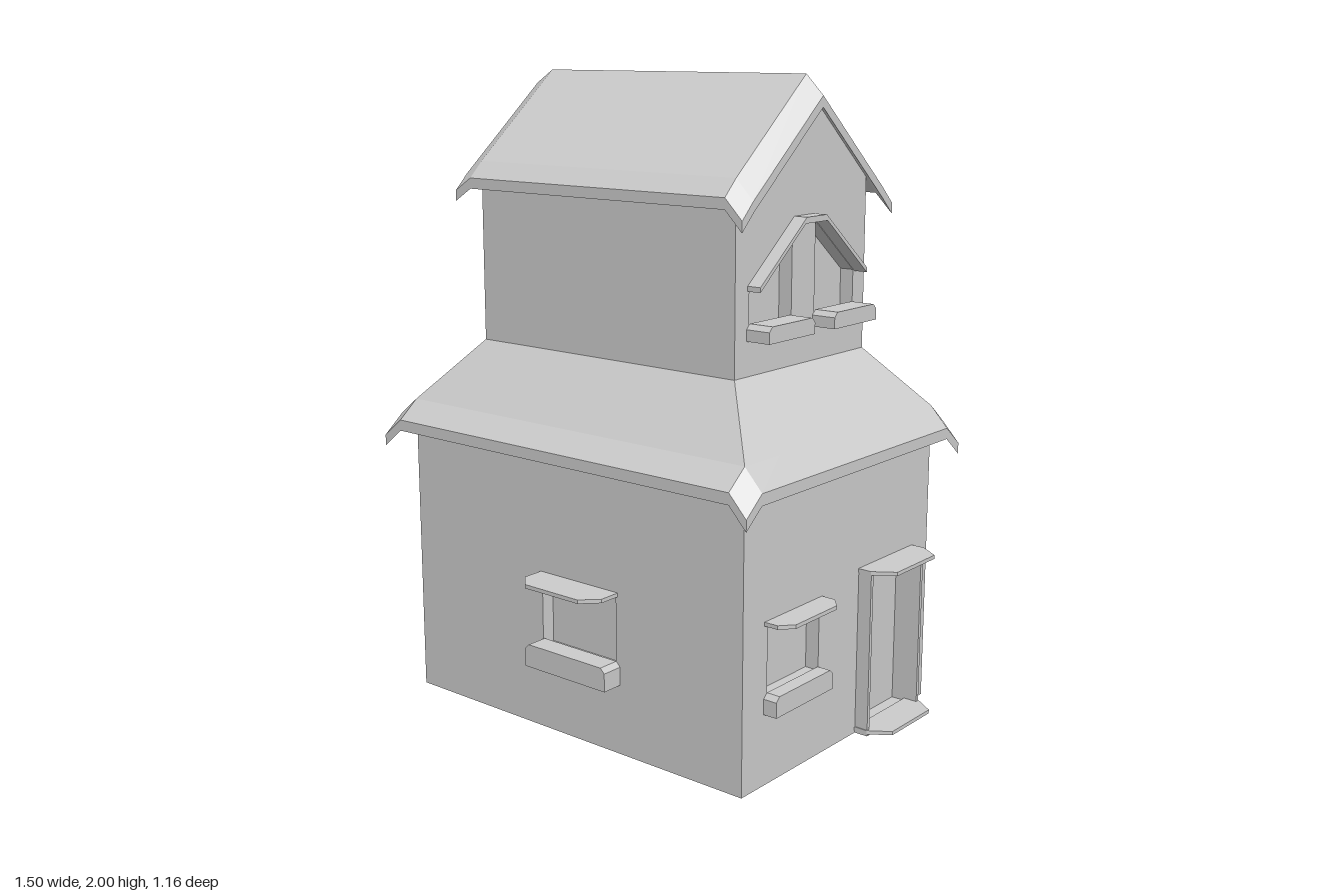
import * as THREE from 'three';

const grey = new THREE.MeshStandardMaterial({ color: 0xcccccc, flatShading: true });
const RECESS = 0.045;

function add(parent, name, geometry) {
  const mesh = new THREE.Mesh(geometry, grey);
  mesh.name = name;
  parent.add(mesh);
  return mesh;
}

const rect = (x0, x1, y0, y1) => [[x0, y0], [x1, y0], [x1, y1], [x0, y1]];
const points = (list) => list.map(([x, y]) => new THREE.Vector2(x, y));

// Outline with optional holes, extruded from z0 to z1
function prism(outline, z0, z1, holes = []) {
  const shape = new THREE.Shape(points(outline));
  for (const h of holes) shape.holes.push(new THREE.Path(points(h)));
  return new THREE.ExtrudeGeometry(shape, { depth: z1 - z0, bevelEnabled: false }).translate(0, 0, z0);
}

// Thin horizontal slab with its two outer corners cut off
function slab(x0, x1, proj, yTop, z, cutX, cutZ) {
  const outline = [[x0, 0], [x1, 0], [x1, proj - cutZ], [x1 - cutX, proj], [x0 + cutX, proj], [x0, proj - cutZ]];
  return prism(outline, 0, 0.012).rotateX(Math.PI / 2).translate(0, yTop, z);
}

// Sill block with chamfered upper corners
function sill(x0, x1, y0, y1, z, proj) {
  const c = 0.015;
  return prism([[x0, y0], [x1, y0], [x1, y1 - c], [x1 - c, y1], [x0 + c, y1], [x0, y1 - c]], z, z + proj);
}

// Roof shell: height is min(hx, hz) less the droop of both eaves
function roofShell(xs, hx, dx, zs, hz, dz, thick) {
  const pos = [];
  const nx = xs.length - 1, nz = zs.length - 1;
  const P = (i, j, low) => [xs[i], Math.min(hx[i], hz[j]) - dx[i] - dz[j] - (low ? thick : 0), zs[j]];
  const tri = (a, b, c) => pos.push(...a, ...b, ...c);
  for (let i = 0; i < nx; i++) for (let j = 0; j < nz; j++) for (const low of [false, true]) {
    const a = P(i, j, low), b = P(i + 1, j, low), c = P(i + 1, j + 1, low), d = P(i, j + 1, low);
    // hip diagonals run towards the middle
    const inward = (i < nx / 2) === (j < nz / 2);
    const tris = inward ? [[a, d, c], [a, c, b]] : [[a, d, b], [d, c, b]];
    for (const [p, q, r] of tris) low ? tri(p, r, q) : tri(p, q, r);
  }
  // rim
  const loop = [];
  for (let i = 0; i < nx; i++) loop.push([i, nz]);
  for (let j = nz; j > 0; j--) loop.push([nx, j]);
  for (let i = nx; i > 0; i--) loop.push([i, 0]);
  for (let j = 0; j < nz; j++) loop.push([0, j]);
  loop.forEach(([i, j], k) => {
    const [m, n] = loop[(k + 1) % loop.length];
    tri(P(i, j, true), P(m, n, true), P(m, n));
    tri(P(i, j, true), P(m, n), P(i, j));
  });
  const g = new THREE.BufferGeometry();
  g.setAttribute('position', new THREE.Float32BufferAttribute(pos, 3));
  g.computeVertexNormals();
  return g;
}

export function createModel() {
  const house = new THREE.Group();
  house.name = 'house';

  // Parts on the +x side: local z points to +x, local x to -z
  const side = new THREE.Group();
  side.name = 'entranceSide';
  side.rotation.y = Math.PI / 2;
  house.add(side);

  // Lower storey: core plus pierced front and side walls
  const X0 = -0.68, X1 = 0.64, Z0 = -0.51, Z1 = 0.46, H = 0.94;
  add(house, 'lowerCore', prism(rect(X0, X1 - RECESS, 0, H), Z0, Z1 - RECESS));
  add(house, 'lowerFrontWall', prism(rect(X0, X1, 0, H), Z1 - RECESS, Z1, [rect(-0.13, 0.17, 0.27, 0.5)]));
  const doorHole = rect(0.13, 0.405, 0.012, 0.52);
  add(side, 'lowerSideWall', prism(rect(-Z1 + RECESS, -Z0, 0, H), X1 - RECESS, X1,
    [rect(-0.345, -0.09, 0.27, 0.49), doorHole]));

  // Front window
  add(house, 'frontSill', sill(-0.14, 0.185, 0.22, 0.292, Z1, 0.07));
  add(house, 'frontCanopy', slab(-0.135, 0.178, 0.12, 0.507, Z1, 0.05, 0.05));

  // Side window
  add(side, 'sideSill', sill(-0.36, -0.077, 0.22, 0.282, X1, 0.045));
  add(side, 'sideCanopy', slab(-0.36, -0.077, 0.08, 0.498, X1, 0.04, 0.035));

  // Door surround, canopy and step
  add(side, 'doorFrame', prism(rect(0.118, 0.417, 0, 0.525), X1, X1 + 0.045, [doorHole]));
  add(side, 'doorCanopy', slab(0.115, 0.42, 0.11, 0.533, X1, 0.045, 0.065));
  add(side, 'doorStep', slab(0.115, 0.42, 0.11, 0.02, X1, 0.045, 0.065));

  // Lower hipped roof with drooping eaves
  add(house, 'lowerRoof', roofShell(
    [-0.755, X0, -0.52, 0.48, X1, 0.70], [0.97, 0.97, 1.16, 1.16, 0.97, 0.97], [0.06, 0, 0, 0, 0, 0.065],
    [-0.585, Z0, -0.35, 0.30, Z1, 0.53], [0.97, 0.97, 1.16, 1.16, 0.97, 0.97], [0.062, 0, 0, 0, 0, 0.058], 0.035));

  // Upper storey with gable; the +x gable has two slanted windows
  const gable = [[-0.30, 1.1], [0.35, 1.1], [0.35, 1.7], [0.025, 1.975], [-0.30, 1.705]];
  const UX = 0.48;
  const core = add(side, 'upperCore', prism(gable, -0.52, UX - RECESS));
  core.name = 'upperCore';
  const mid = 0.027;
  const windows = [-1, 1].map((s) => [[0.058, 1.29], [0.262, 1.29], [0.262, 1.41], [0.058, 1.575]]
    .map(([u, y]) => [mid + s * u, y]));
  add(side, 'upperGableWall', prism(gable, UX - RECESS, UX, windows));
  for (const s of [-1, 1]) {
    const a = mid + s * 0.05, b = mid + s * 0.273;
    add(side, 'gableSill', sill(Math.min(a, b), Math.max(a, b), 1.263, 1.312, UX, 0.08));
  }

  // Bent canopy over both gable windows
  add(side, 'gableCanopy', prism([
    [mid - 0.27, 1.405], [mid - 0.055, 1.58], [mid + 0.055, 1.58], [mid + 0.27, 1.405],
    [mid + 0.27, 1.42], [mid + 0.05, 1.598], [mid - 0.05, 1.598], [mid - 0.27, 1.42]], UX, UX + 0.045));

  // Upper gabled roof with drooping ends
  add(house, 'upperRoof', roofShell(
    [-0.587, -0.52, UX, 0.54], [9, 9, 9, 9], [0.042, 0, 0, 0.06],
    [-0.405, -0.35, -0.025, 0.30, 0.35], [1.668, 1.72, 2, 1.725, 1.675], [0, 0, 0, 0, 0], 0.033));

  return house;
}
